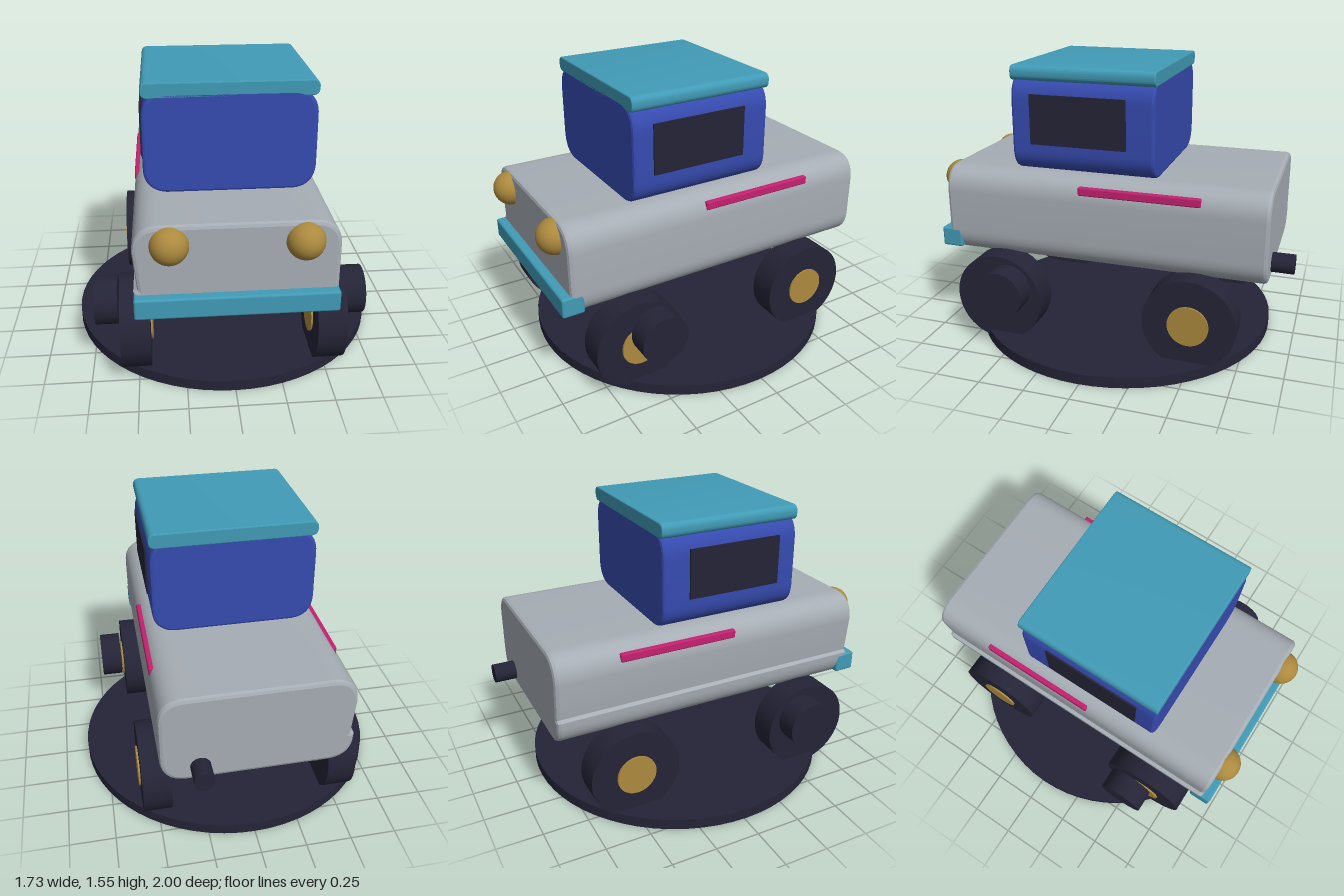
import * as THREE from 'three';
import { toCreasedNormals } from 'three/addons/utils/BufferGeometryUtils.js';
import { RoundedBoxGeometry } from 'three/addons/geometries/RoundedBoxGeometry.js';

const paint = (name, color) => {
  const m = new THREE.MeshStandardMaterial({ color });
  m.name = name;
  return m;
};

// Rounded-rectangle section extruded along z, with bevelled ends
function roundedBar(x0, x1, y0, y1, z0, z1, r, bevel, groove = 0) {
  const l = x0 + bevel, t = y1 - bevel, R = x1 - bevel, b = y0 + bevel;
  const s = new THREE.Shape();
  s.moveTo(l, t - r);
  s.quadraticCurveTo(l, t, l + r, t);
  s.lineTo(R - r, t);
  s.quadraticCurveTo(R, t, R, t - r);
  s.lineTo(R, b + r);
  s.quadraticCurveTo(R, b, R - r, b);
  s.lineTo(l + r, b);
  s.quadraticCurveTo(l, b, l, b + r);
  // one side leans in towards a small ledge
  if (groove) s.lineTo(l + groove, b + r + 0.012);
  const geo = new THREE.ExtrudeGeometry(s, {
    depth: z1 - z0 - 2 * bevel,
    bevelThickness: bevel,
    bevelSize: bevel,
    bevelSegments: 2,
    curveSegments: 12,
  });
  geo.translate(0, 0, z0 + bevel);
  return toCreasedNormals(geo, 0.38);
}

export function createModel() {
  const grey = paint('body grey', 0xa6adb4);
  const blue = paint('cab blue', 0x364bb0);
  const teal = paint('trim teal', 0x419bb6);
  const dark = paint('rubber dark', 0x242437);
  const gold = paint('brass', 0xac8a3e);
  const pink = paint('stripe pink', 0xc4216f);

  const model = new THREE.Group();
  model.name = 'toyCar';
  const add = (name, geo, mat, x = 0, y = 0, z = 0) => {
    const mesh = new THREE.Mesh(geo, mat);
    mesh.name = name;
    mesh.position.set(x, y, z);
    model.add(mesh);
    return mesh;
  };

  // Display base
  add('base', new THREE.CylinderGeometry(0.865, 0.865, 0.06, 64), dark, 0, 0.03, 0.015);

  // Body, cab and roof
  add('body', roundedBar(-0.5, 0.5, 0.48, 0.98, -0.88, 0.91, 0.12, 0.02, 0.02), grey);
  add('cab', roundedBar(-0.44, 0.44, 0.975, 1.5, -0.27, 0.52, 0.12, 0.015), blue);
  add('roof', roundedBar(-0.44, 0.44, 1.47, 1.55, -0.275, 0.52, 0.03, 0.006), teal);

  // Bumper and exhaust
  add('bumper', new RoundedBoxGeometry(1, 0.11, 0.12, 2, 0.012), teal, 0, 0.565, 0.9);
  const exhaust = new THREE.CylinderGeometry(0.053, 0.053, 0.16, 24).rotateX(Math.PI / 2);
  add('exhaust', exhaust, dark, 0.297, 0.5625, -0.92);

  const axle = (r, width) => new THREE.CylinderGeometry(r, r, width, 40).rotateZ(Math.PI / 2);
  const tyre = axle(0.25, 0.155);
  const hub = axle(0.11, 0.175);
  const knob = axle(0.132, 0.122);
  const lamp = new THREE.SphereGeometry(0.095, 32, 20);
  const stripe = new RoundedBoxGeometry(0.032, 0.046, 0.66, 2, 0.008);
  const pane = new THREE.BoxGeometry(0.009, 0.268, 0.53);

  // Mirrored parts
  for (const [side, label] of [[1, 'left'], [-1, 'right']]) {
    for (const [end, z] of [['Front', 0.58], ['Rear', -0.5]]) {
      add(`${label}${end}Tyre`, tyre, dark, side * 0.508, 0.27, z);
      add(`${label}${end}Hub`, hub, gold, side * 0.508, 0.27, z);
    }
    add(`${label}SideKnob`, knob, dark, side * 0.664, 0.355, 0.51);
    add(`${label}Headlight`, lamp, gold, side * 0.323, 0.88, 0.905);
    add(`${label}Stripe`, stripe, pink, side * 0.482, 0.912, -0.2);
    add(`${label}Window`, pane, dark, side * 0.4452, 1.27, 0.145);
  }
  return model;
}
